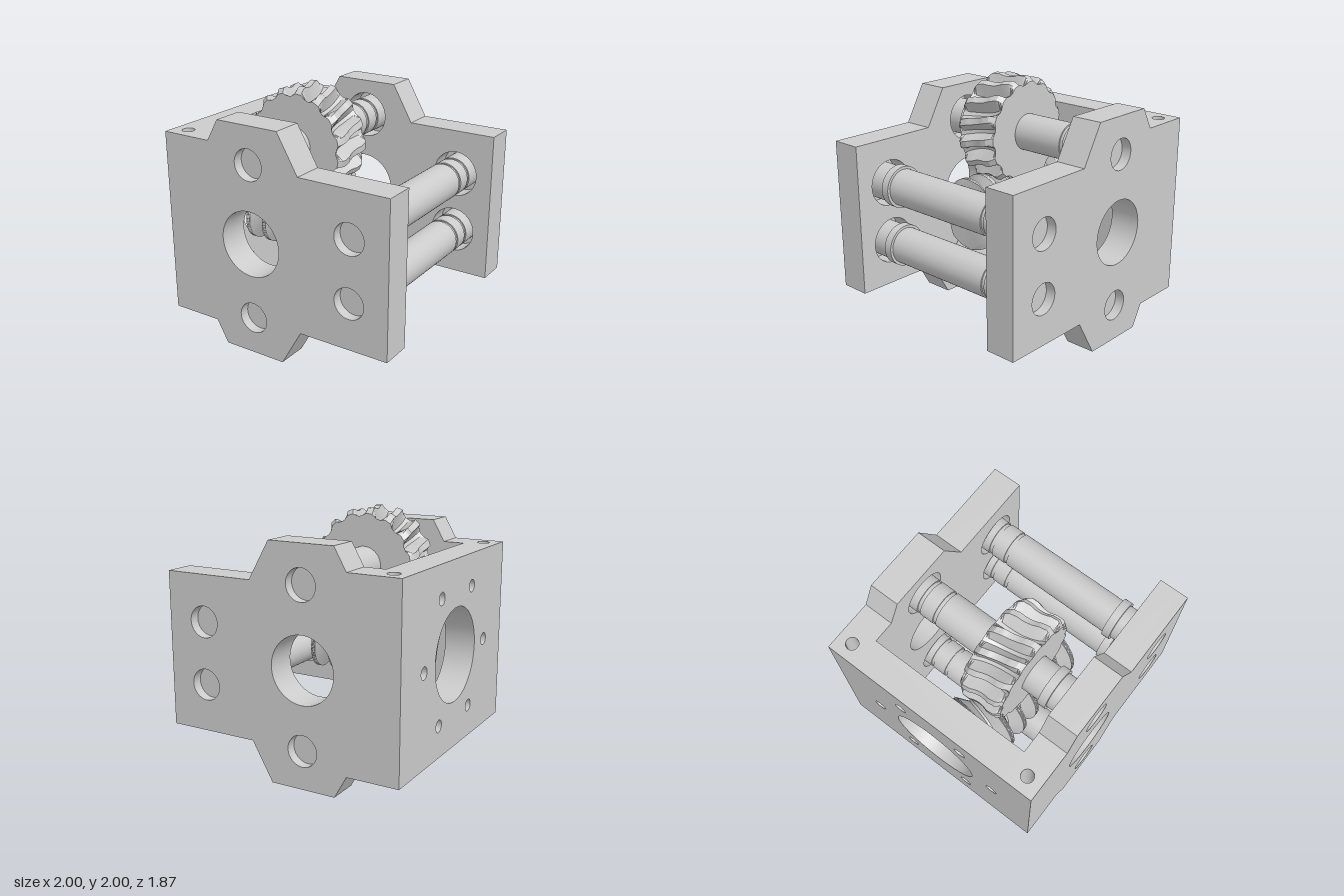
import * as THREE from 'three';
import { toCreasedNormals } from 'three/addons/utils/BufferGeometryUtils.js';

const material = new THREE.MeshStandardMaterial({ color: 0xcccccc });
const AXIS_X = -0.2, WORM_Y = 0.925, GEAR_Y = 1.555, MESH_Z = 0.177;
const CENTRE_DIST = GEAR_Y - WORM_Y, LEAD = 0.32;

function mesh(name, geometry) {
  const m = new THREE.Mesh(toCreasedNormals(geometry, 0.5), material);
  m.name = name;
  return m;
}

// Extrude an outline with round holes given as [x, y, radius]
function plate(outline, holes, depth) {
  const shape = new THREE.Shape(outline.map(([x, y]) => new THREE.Vector2(x, y)));
  for (const [x, y, r] of holes) shape.holes.push(new THREE.Path().absarc(x, y, r, 0, Math.PI * 2, true));
  return new THREE.ExtrudeGeometry(shape, { depth, bevelEnabled: false, curveSegments: 32 });
}

const rect = (x0, y0, x1, y1) => [[x0, y0], [x1, y0], [x1, y1], [x0, y1]];

// Skin a stack of closed rings along z and close both ends
function loft(rings) {
  const n = rings[0].length, pos = [], index = [];
  rings.forEach(ring => ring.forEach(p => pos.push(p.x, p.y, p.z)));
  const last = (rings.length - 1) * n, c0 = rings.length * n;
  pos.push(0, 0, rings[0][0].z, 0, 0, rings[rings.length - 1][0].z);
  for (let j = 0; j < n; j++) {
    const k = (j + 1) % n;
    for (let i = 0; i < last; i += n) index.push(i + j, i + k, i + n + k, i + j, i + n + k, i + n + j);
    index.push(c0, k, j, c0 + 1, last + j, last + k);
  }
  const g = new THREE.BufferGeometry();
  g.setAttribute('position', new THREE.Float32BufferAttribute(pos, 3));
  g.setIndex(index);
  return g;
}

// One toothed cross-section; profile lists [angle, radius] across one tooth
function toothRing(count, profile, turn, z) {
  const ring = [];
  for (let t = 0; t < count; t++) {
    for (const [a, r] of profile) {
      const angle = a + turn + (t / count) * Math.PI * 2;
      ring.push(new THREE.Vector3(r * Math.cos(angle), r * Math.sin(angle), z));
    }
  }
  return ring;
}

// Two-start worm: a two-lobed section twisted along its axis
function wormGeometry() {
  const root = 0.185, tip = 0.3, length = 0.995, steps = 180, profile = [];
  const toAngle = u => (u / LEAD) * Math.PI * 2;
  for (let i = 0; i <= 4; i++) profile.push([toAngle(-0.07 + 0.052 * i / 4), root + (tip - root) * i / 4]);
  profile.push([0, tip]);
  for (let i = 0; i <= 4; i++) profile.push([toAngle(0.018 + 0.052 * i / 4), tip - (tip - root) * i / 4]);
  profile.push([Math.PI / 2, root]);
  const rings = [];
  for (let i = 0; i <= steps; i++) {
    const z = (i / steps - 0.5) * length;
    rings.push(toothRing(2, profile, Math.PI / 2 - toAngle(z), z));
  }
  return loft(rings);
}

// Throated wheel: tooth roots and tips follow the worm around
function wheelGeometry() {
  const half = 0.187, steps = 24, rings = [];
  for (let i = 0; i <= steps; i++) {
    const d = (i / steps * 2 - 1) * half;
    const root = CENTRE_DIST - Math.sqrt(0.305 ** 2 - d * d);
    const throat = CENTRE_DIST - Math.sqrt(Math.max(0, 0.2 ** 2 - d * d));
    const chamfer = 0.41 + (half - Math.abs(d)) * 0.85;
    const tip = Math.min(throat, 0.447, chamfer);
    const turn = Math.PI / 2 - Math.asin(d / 0.25) * LEAD / (2 * Math.PI) / 0.38;
    rings.push(toothRing(15, [[-0.165, root], [-0.06, tip], [0.06, tip], [0.165, root]], turn, d));
  }
  return loft(rings);
}

// Shaft with a collar near the front and two ring grooves near the back
function shaftGeometry() {
  const r = 0.15, groove = 0.14, collar = 0.172, end = 0.857;
  const points = [[0, -end], [r, -end]];
  const band = (z0, z1, radius) => points.push([r, z0], [radius, z0], [radius, z1], [r, z1]);
  band(-0.64, -0.61, groove);
  band(-0.49, -0.46, groove);
  band(0.52, 0.59, collar);
  points.push([r, end], [0, end]);
  const g = new THREE.LatheGeometry(points.map(([x, y]) => new THREE.Vector2(x, y)), 48);
  return g.rotateX(Math.PI / 2);
}

export function createModel() {
  const group = new THREE.Group();
  const shafts = [[AXIS_X, GEAR_Y], [AXIS_X, 0.305], [0.675, 1.18], [0.675, 0.68]];
  const bore = [AXIS_X - 0.005, WORM_Y, 0.265];
  const inner = 0.687, outer = 0.937, lip = 0.08, wallIn = -0.75, low = 0.18, high = 1.68;

  // End plates: thin outer lip plus a thicker layer with wider shaft recesses
  const outline = [[wallIn, low], [-0.575, low], [-0.475, 0], [0.07, 0], [0.245, 0.305], [1, 0.305],
    [1, 1.55], [0.245, 1.55], [0.07, 1.855], [-0.475, 1.855], [-0.575, high], [wallIn, high]];
  const layer = (radius, depth) => plate(outline, [bore, ...shafts.map(([x, y]) => [x, y, radius])], depth);
  const seat = outer - inner - lip;
  for (const [name, lipZ, seatZ] of [['front', outer - lip, inner], ['back', -outer, -inner - seat]]) {
    group.add(mesh(name + 'PlateLip', layer(0.125, lip).translate(0, 0, lipZ)));
    group.add(mesh(name + 'PlateSeat', layer(0.19, seat).translate(0, 0, seatZ)));
  }

  // Corner columns with vertical bolt holes
  for (const [name, side] of [['front', -1], ['back', 1]]) {
    const y0 = side > 0 ? inner : -outer, y1 = side > 0 ? outer : -inner;
    const g = plate(rect(-1, y0, wallIn, y1), [[-0.875, side * 0.812, 0.05]], high - low);
    group.add(mesh(name + 'Corner', g.rotateX(-Math.PI / 2).translate(0, low, 0)));
  }

  // Side wall with a large bore and a ring of six bolt holes
  const holes = [[0, WORM_Y + 0.005, 0.375]];
  for (let i = 0; i < 6; i++) {
    const a = i * Math.PI / 3;
    holes.push([0.565 * Math.cos(a), WORM_Y + 0.005 + 0.565 * Math.sin(a), 0.05]);
  }
  const wall = plate(rect(-inner, low, inner, high), holes, 0.25);
  group.add(mesh('sideWall', wall.rotateY(Math.PI / 2).translate(-1, 0, 0)));

  // Shafts
  shafts.forEach(([x, y], i) => {
    const shaft = mesh('shaft' + (i + 1), shaftGeometry());
    shaft.position.set(x, y, 0);
    group.add(shaft);
  });

  // Worm and wheel
  const worm = mesh('worm', wormGeometry());
  worm.rotation.y = Math.PI / 2;
  worm.position.set(AXIS_X, WORM_Y, MESH_Z - 0.005);
  const wheel = mesh('wormWheel', wheelGeometry());
  wheel.position.set(AXIS_X, GEAR_Y, MESH_Z);
  group.add(worm, wheel);
  return group;
}
